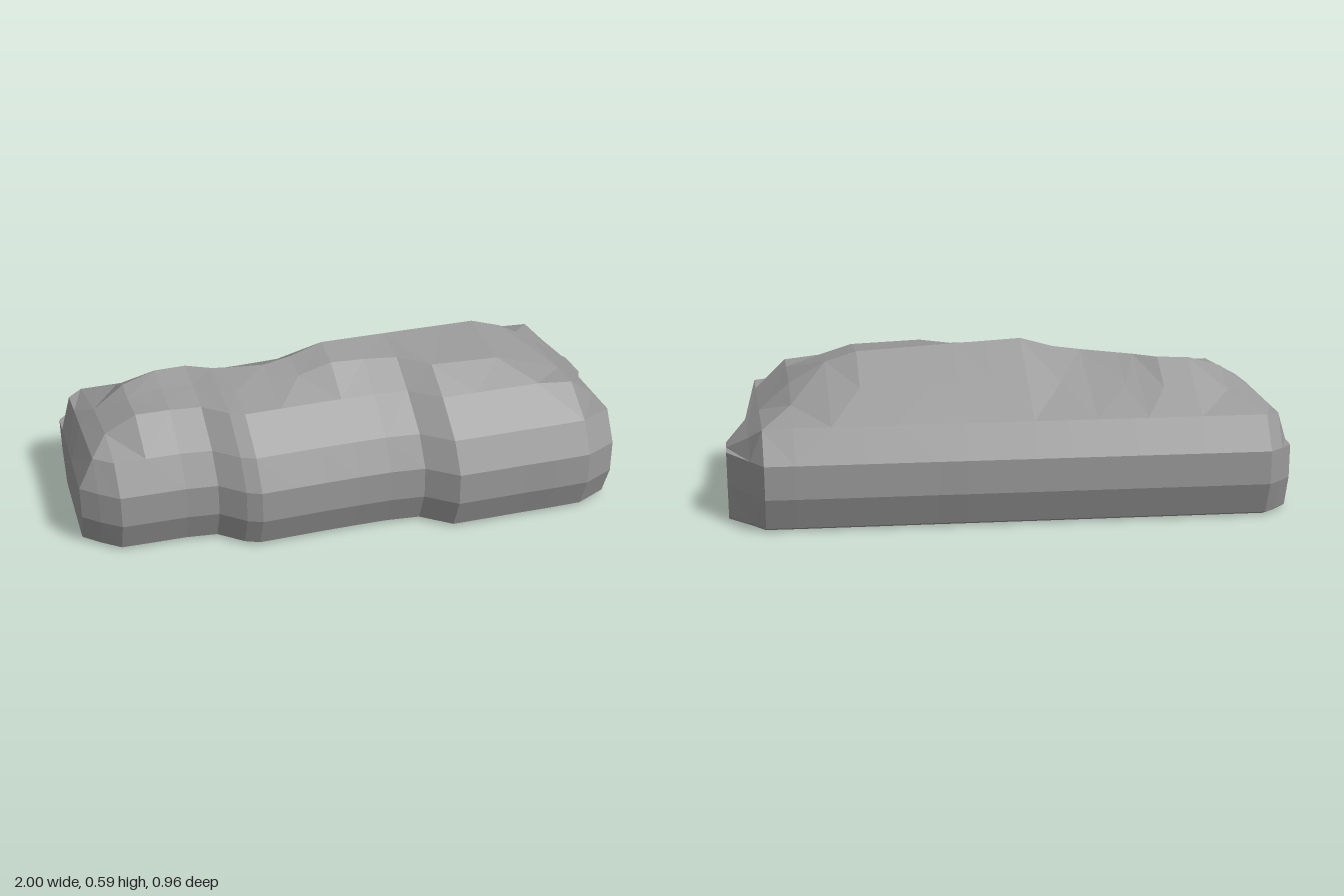
import * as THREE from 'three';

// Stations along the rock: [x front, x back, front z, back z, top height, ridge z]
const STATIONS = [
  [-1.0, -0.97, 0.06, -0.41, 0.25, -0.18],
  [-0.945, -0.93, 0.115, -0.445, 0.36, -0.18],
  [-0.88, -0.88, 0.17, -0.48, 0.41, -0.18],
  [-0.77, -0.77, 0.18, -0.473, 0.49, -0.18],
  [-0.65, -0.65, 0.19, -0.466, 0.525, -0.18],
  [-0.54, -0.54, 0.21, -0.459, 0.528, -0.17],
  [-0.46, -0.46, 0.285, -0.454, 0.53, -0.12],
  [-0.41, -0.41, 0.31, -0.451, 0.532, -0.1],
  [-0.28, -0.28, 0.317, -0.443, 0.54, -0.06],
  [-0.18, -0.18, 0.322, -0.437, 0.555, -0.06],
  [-0.06, -0.06, 0.33, -0.43, 0.59, -0.06],
  [0.06, 0.06, 0.34, -0.422, 0.585, -0.06],
  [0.18, 0.18, 0.36, -0.415, 0.58, -0.06],
  [0.28, 0.28, 0.445, -0.408, 0.576, -0.06],
  [0.41, 0.41, 0.455, -0.4, 0.57, -0.06],
  [0.53, 0.53, 0.463, -0.393, 0.565, -0.06],
  [0.64, 0.64, 0.472, -0.386, 0.53, -0.05],
  [0.77, 0.77, 0.48, -0.378, 0.455, -0.04],
  [0.885, 0.875, 0.435, -0.37, 0.36, -0.04],
  [0.93, 0.92, 0.06, -0.3, 0.315, -0.12],
  [1.0, 1.0, -0.06, -0.18, 0.25, -0.12],
];

// Faceted cross-section from the front foot, over the ridge, to the back foot
function section([xf, xb, zf, zb, top, ridge]) {
  const tuck = Math.min(0.045, (zf - zb) * 0.1);
  const shoulder = Math.min(0.47, top);
  const front = (inset) => Math.max(ridge, zf - inset);
  const backZ = Math.min(ridge, zb + 0.07), backY = Math.min(0.365, top);
  const profile = [
    [zf - tuck * 1.5, 0], [zf - tuck, 0.012], [zf, 0.13], [zf, Math.min(0.25, top)],
    [front(0.06), Math.min(0.36, top)], [front(0.18), shoulder],
    [front(0.29), Math.max(shoulder, top - 0.03)], [ridge, top],
    [(ridge + backZ) / 2, (top + backY) / 2], [backZ, backY],
    [zb, Math.min(0.25, top)], [zb, 0.13], [zb + tuck, 0.012], [zb + tuck * 1.5, 0],
  ];
  return profile.map(([z, y]) => [xf + (xb - xf) * (zf - z) / (zf - zb), y, z]);
}

function rockGeometry() {
  const rings = STATIONS.map(section);
  const n = rings[0].length, last = rings.length - 1;
  const positions = [];
  const triangle = (a, b, c) => positions.push(...a, ...b, ...c);
  // Skin between neighbouring sections, with alternating diagonals
  for (let i = 0; i < last; i++) {
    for (let j = 0; j < n; j++) {
      const k = (j + 1) % n;
      const a = rings[i][j], b = rings[i + 1][j], c = rings[i + 1][k], d = rings[i][k];
      if ((i + j) % 2) { triangle(a, b, c); triangle(a, c, d); }
      else { triangle(a, b, d); triangle(b, c, d); }
    }
  }
  // End faces
  for (let j = 1; j < n - 1; j++) {
    triangle(rings[0][0], rings[0][j], rings[0][j + 1]);
    triangle(rings[last][0], rings[last][j + 1], rings[last][j]);
  }
  const geometry = new THREE.BufferGeometry();
  geometry.setAttribute('position', new THREE.Float32BufferAttribute(positions, 3));
  geometry.computeVertexNormals();
  return geometry;
}

export function createModel() {
  const stone = new THREE.MeshStandardMaterial({ color: 0x999999, flatShading: true });
  stone.name = 'stone grey';
  const rock = new THREE.Mesh(rockGeometry(), stone);
  rock.name = 'rock';
  const model = new THREE.Group();
  model.name = 'longRock';
  model.add(rock);
  return model;
}
